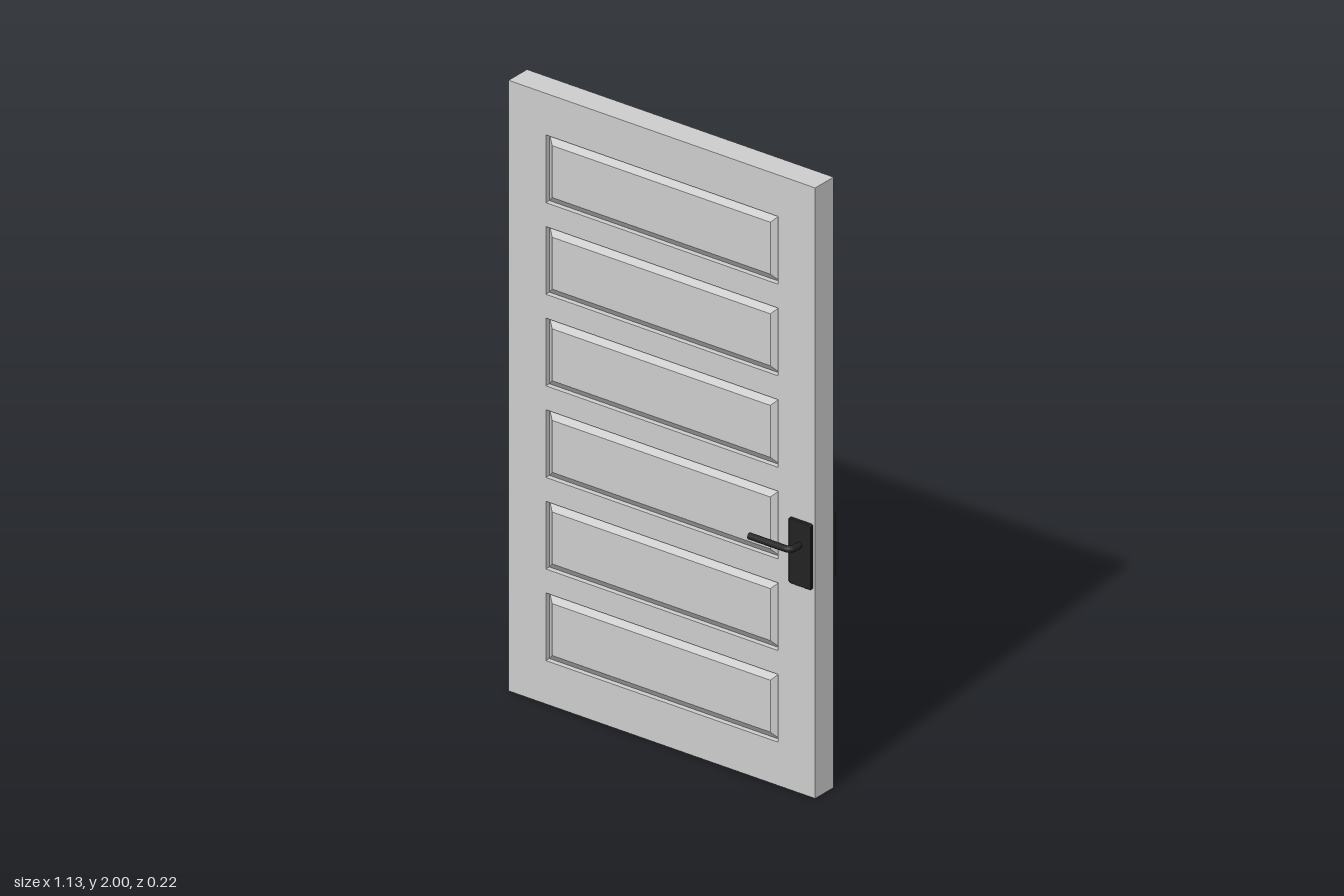
import * as THREE from 'three';

const grey = new THREE.MeshStandardMaterial({ color: 0xcccccc });
grey.name = 'door grey';
const black = new THREE.MeshStandardMaterial({ color: 0x222222 });
black.name = 'handle black';

const BACK = -0.038, THICK = 0.088;       // door leaf along z
const PANEL_W = 0.856, PANEL_H = 0.222, BEVEL = 0.026;
const panelY = Array.from({ length: 6 }, (_, i) => 0.253 + 0.3 * i);

function rect(target, cx, cy, w, h) {
  return target
    .moveTo(cx - w / 2, cy - h / 2)
    .lineTo(cx + w / 2, cy - h / 2)
    .lineTo(cx + w / 2, cy + h / 2)
    .lineTo(cx - w / 2, cy + h / 2)
    .closePath();
}

function roundedRect(w, h, r) {
  const s = new THREE.Shape();
  const x = w / 2 - r, y = h / 2 - r;
  s.absarc(x, y, r, 0, Math.PI / 2);
  s.absarc(-x, y, r, Math.PI / 2, Math.PI);
  s.absarc(-x, -y, r, Math.PI, Math.PI * 1.5);
  s.absarc(x, -y, r, Math.PI * 1.5, Math.PI * 2);
  return s;
}

function add(parent, name, geometry, material, x = 0, y = 0, z = 0) {
  const mesh = new THREE.Mesh(geometry, material);
  mesh.name = name;
  mesh.position.set(x, y, z);
  parent.add(mesh);
  return mesh;
}

// Backplate, stem and lever for one side, facing +z
function createHandle(mirrored) {
  const handle = new THREE.Group();
  const plate = new THREE.ExtrudeGeometry(roundedRect(0.08, 0.21, 0.004), {
    depth: 0.008, bevelEnabled: true, bevelSize: 0.002, bevelThickness: 0.002,
    bevelSegments: 1, curveSegments: 3,
  });
  add(handle, 'backplate', plate, black, 0.515, 0.789, 0.049);

  const path = new THREE.CurvePath();
  const v = (x, z) => new THREE.Vector3(x, 0, z);
  path.add(new THREE.LineCurve3(v(0.513, 0.055), v(0.513, 0.078)));
  path.add(new THREE.QuadraticBezierCurve3(v(0.513, 0.078), v(0.513, 0.1), v(0.491, 0.1)));
  path.add(new THREE.LineCurve3(v(0.491, 0.1), v(0.361, 0.1)));
  add(handle, 'lever', new THREE.TubeGeometry(path, 48, 0.0105, 12), black, 0, 0.817, 0);
  const cap = add(handle, 'leverEnd', new THREE.CircleGeometry(0.0105, 12), black, 0.361, 0.817, 0.1);
  cap.rotation.y = -Math.PI / 2;

  // Mirror to the rear face while keeping the lever on the same edge
  if (mirrored) handle.scale.z = -1;
  return handle;
}

export function createModel() {
  const door = new THREE.Group();
  door.name = 'door';

  // Frame with six openings
  const outline = rect(new THREE.Shape(), 0, 1, 1.13, 2);
  for (const y of panelY) outline.holes.push(rect(new THREE.Path(), 0, y, PANEL_W, PANEL_H));
  add(door, 'frame', new THREE.ExtrudeGeometry(outline, { depth: THICK, bevelEnabled: false }),
    grey, 0, 0, BACK);

  // Raised panels, bevelled on both faces and slightly proud of the frame
  const proud = 0.003, slope = 0.02;
  const field = rect(new THREE.Shape(), 0, 0, PANEL_W - 2 * BEVEL, PANEL_H - 2 * BEVEL);
  const panel = new THREE.ExtrudeGeometry(field, {
    depth: THICK + 2 * proud - 2 * slope, bevelEnabled: true,
    bevelSize: BEVEL, bevelThickness: slope, bevelSegments: 1,
  });
  panelY.forEach((y, i) => add(door, `panel${i + 1}`, panel, grey, 0, y, BACK - proud + slope));

  // Handles on both faces
  for (const rear of [false, true]) {
    const handle = createHandle(rear);
    handle.name = rear ? 'rearHandle' : 'frontHandle';
    door.add(handle);
  }
  return door;
}
